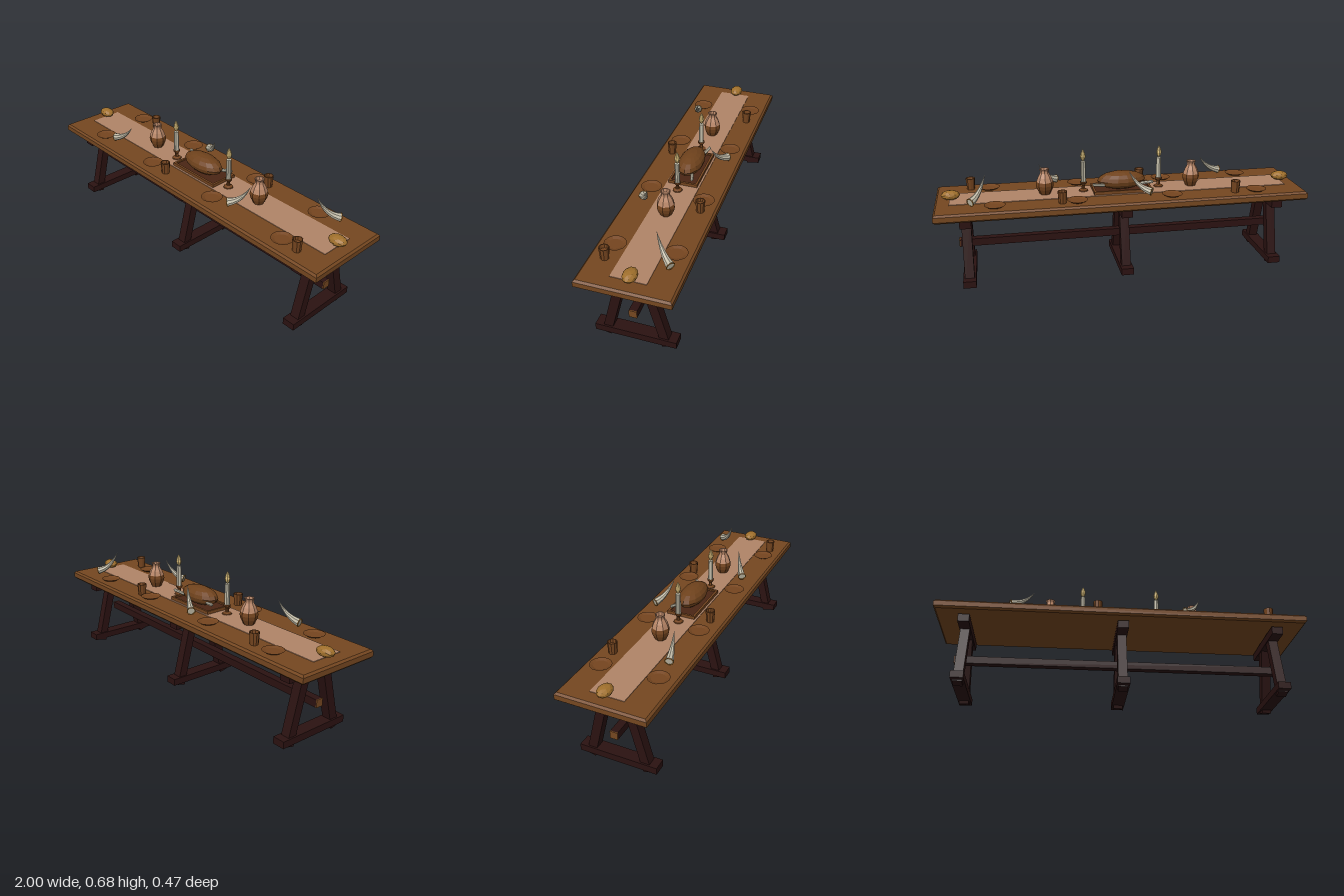
import * as THREE from 'three';

function mat(name, color, opts = {}) {
  const m = new THREE.MeshStandardMaterial({ color, flatShading: true, ...opts });
  m.name = name;
  return m;
}

export function createModel() {
  const root = new THREE.Group();
  root.name = 'feastTable';
  const M = {
    wood: mat('wood', 0x754720),
    dark: mat('dark wood', 0x2b1211),
    cloth: mat('runner cloth', 0xb08467),
    clay: mat('pale clay', 0xb98768, { side: THREE.DoubleSide }),
    ware: mat('brown ware', 0x75451f, { side: THREE.DoubleSide }),
    meat: mat('roast', 0x6f421c),
    bone: mat('bone and wax', 0xc2bca8, { side: THREE.DoubleSide }),
    flame: mat('flame', 0xd9bd7a),
    gold: mat('crust and brass', 0xa0702c),
    tray: mat('tray wood', 0x4a2614),
  };
  const TOP = 0.447;

  function add(parent, name, geo, material, x = 0, y = 0, z = 0) {
    const m = new THREE.Mesh(geo, material);
    m.name = name;
    m.position.set(x, y, z);
    parent.add(m);
    return m;
  }
  function group(name, x = 0, y = 0, z = 0) {
    const g = new THREE.Group();
    g.name = name;
    g.position.set(x, y, z);
    root.add(g);
    return g;
  }
  const box = (w, h, d) => new THREE.BoxGeometry(w, h, d);
  const lathe = (pts, n) => new THREE.LatheGeometry(pts.map(p => new THREE.Vector2(...p)), n);

  // Chamfered tabletop
  const b = 0.01, hx = 1 - b, hz = 0.237 - b;
  const outline = new THREE.Shape([[-hx, -hz], [hx, -hz], [hx, hz], [-hx, hz]].map(p => new THREE.Vector2(...p)));
  const slab = new THREE.ExtrudeGeometry(outline, {
    depth: 0.027, bevelEnabled: true, bevelSegments: 1, bevelSize: b, bevelThickness: b,
  });
  slab.rotateX(-Math.PI / 2);
  add(root, 'tabletop', slab, M.wood, 0, 0.41, 0);
  add(root, 'tableRunner', box(1.85, 0.004, 0.18), M.cloth, 0, TOP + 0.001, -0.003);

  // Trestles
  for (const x of [-0.845, 0, 0.845]) {
    const t = group('trestle', x);
    add(t, 'foot', box(0.068, 0.037, 0.42), M.dark, 0, 0.04, 0);
    add(t, 'topBeam', box(0.06, 0.042, 0.376), M.dark, 0, 0.369, 0);
    for (const s of [-1, 1]) {
      const leg = add(t, 'leg', box(0.05, 0.405, 0.047), M.dark, 0, 0.205, s * 0.106);
      leg.rotation.x = -s * 0.25;
    }
  }

  // Stretcher with pale end grain
  add(root, 'stretcher', box(1.78, 0.041, 0.041), M.dark, -0.003, 0.201, 0);
  for (const s of [-1, 1]) add(root, 'stretcherEnd', box(0.006, 0.041, 0.041), M.wood, -0.003 + s * 0.892, 0.201, 0);

  // Plates
  const plateGeo = lathe([[0, 0], [0.037, 0], [0.056, 0.011], [0.052, 0.011], [0.037, 0.005], [0, 0.005]], 14);
  for (const [x, z] of [[-0.73, -0.152], [-0.254, -0.152], [0.26, -0.152], [0.69, -0.152],
    [-0.71, 0.147], [-0.26, 0.147], [0.227, 0.147], [0.714, 0.147]]) {
    add(root, 'plate', plateGeo, M.ware, x, TOP, z);
  }

  // Cups
  const cupGeo = lathe([[0, 0], [0.021, 0], [0.026, 0.064], [0.022, 0.064], [0.019, 0.045], [0, 0.045]], 10);
  for (const [x, z] of [[-0.607, -0.158], [0.34, -0.158], [-0.136, 0.157], [0.815, 0.157]]) {
    add(root, 'cup', cupGeo, M.ware, x, TOP, z);
  }

  // Pitchers with a pale neck
  const bodyGeo = lathe([[0, 0], [0.027, 0], [0.043, 0.032], [0.048, 0.053], [0.045, 0.072]], 8);
  const neckGeo = lathe([[0.045, 0.072], [0.036, 0.097], [0.023, 0.12], [0.022, 0.13], [0.027, 0.143],
    [0.022, 0.143], [0.018, 0.125], [0, 0.12]], 8);
  for (const x of [-0.398, 0.418]) {
    const g = group('pitcher', x, TOP, -0.002);
    add(g, 'pitcherBody', bodyGeo, M.ware);
    add(g, 'pitcherNeck', neckGeo, M.clay);
  }

  // Candles in holders
  const holderGeo = lathe([[0, 0], [0.027, 0], [0.025, 0.008], [0.01, 0.015], [0.009, 0.035], [0.019, 0.048],
    [0.019, 0.055], [0, 0.055]], 10);
  const flameGeo = lathe([[0, 0], [0.011, 0.012], [0.015, 0.027], [0.011, 0.046], [0.005, 0.06], [0, 0.068]], 8);
  for (const x of [-0.215, 0.207]) {
    const g = group('candlestick', x, TOP, 0.009);
    add(g, 'candleHolder', holderGeo, M.ware);
    add(g, 'candle', new THREE.CylinderGeometry(0.013, 0.014, 0.117, 10), M.bone, 0, 0.111, 0);
    add(g, 'flame', flameGeo, M.flame, 0, 0.17, 0);
  }

  // Tray with rim and roast
  const platter = group('platter', -0.002, TOP, -0.003);
  add(platter, 'trayBase', box(0.31, 0.012, 0.15), M.tray, 0, 0.006, 0);
  for (const s of [-1, 1]) {
    add(platter, 'trayLongRim', box(0.322, 0.02, 0.012), M.ware, 0, 0.01, s * 0.074);
    add(platter, 'trayShortRim', box(0.012, 0.02, 0.136), M.ware, s * 0.155, 0.01, 0);
    const bone = add(platter, 'legBone', new THREE.CapsuleGeometry(0.009, 0.06, 3, 7), M.bone, s * 0.132, 0.047, -0.043);
    bone.rotation.set(0, s * 0.3, -s * 1.4);
  }
  const roast = add(platter, 'roast', new THREE.SphereGeometry(1, 14, 8), M.meat, 0, 0.058, 0);
  roast.scale.set(0.134, 0.05, 0.067);

  // Loaves
  for (const x of [-0.922, 0.917]) {
    const loaf = add(root, 'loaf', new THREE.IcosahedronGeometry(1, 1), M.gold, x, TOP + 0.03, -0.012);
    loaf.scale.set(0.05, 0.026, 0.036);
  }

  // Drinking horns: a tube tapering to a point along a bent path
  function horn(bx, bz, tx, ty, tz) {
    const g = group('drinkingHorn');
    const base = new THREE.Vector3(bx, 0.482, bz), tip = new THREE.Vector3(tx, ty, tz);
    const bend = base.clone().lerp(tip, 0.65).setY(0.5);
    const curve = new THREE.QuadraticBezierCurve3(base, bend, tip);
    const rings = 9, sides = 8;
    const geo = new THREE.TubeGeometry(curve, rings, 0.022, sides);
    const pos = geo.attributes.position, v = new THREE.Vector3();
    for (let i = 0; i < pos.count; i++) {
      const t = Math.floor(i / (sides + 1)) / rings;
      const c = curve.getPointAt(t);
      v.fromBufferAttribute(pos, i).sub(c).multiplyScalar(1 - 0.97 * t).add(c);
      pos.setXYZ(i, v.x, v.y, v.z);
    }
    add(g, 'hornShell', geo, M.bone);
    const back = curve.getTangentAt(0).negate();
    const q = new THREE.Quaternion().setFromUnitVectors(new THREE.Vector3(0, 0, 1), back);
    const mouth = add(g, 'hornMouth', new THREE.CircleGeometry(0.021, 8), M.bone, bx, 0.482, bz);
    const band = add(g, 'hornBand', new THREE.TorusGeometry(0.021, 0.003, 5, 10), M.gold, bx, 0.482, bz);
    mouth.quaternion.copy(q);
    band.quaternion.copy(q);
  }
  horn(-0.135, -0.17, -0.024, 0.583, -0.107);
  horn(0.812, -0.165, 0.732, 0.597, -0.073);
  horn(-0.607, 0.15, -0.485, 0.573, 0.119);
  horn(0.345, 0.148, 0.44, 0.587, 0.087);

  return root;
}
